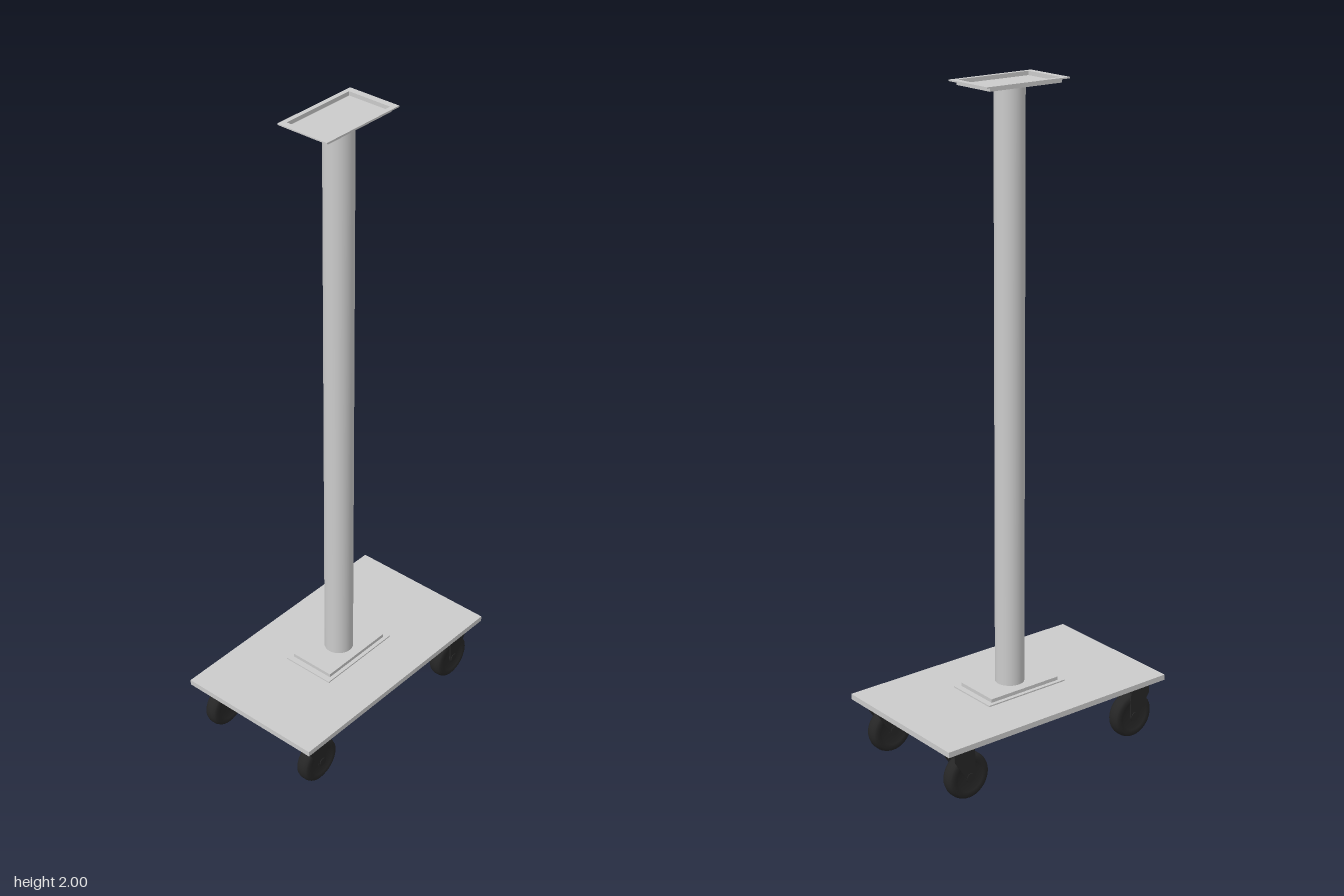
import * as THREE from 'three';

const grey = new THREE.MeshStandardMaterial({ color: 0xcccccc, side: THREE.DoubleSide });
const black = new THREE.MeshStandardMaterial({ color: 0x262626, side: THREE.DoubleSide });

function add(parent, name, geometry, material, x = 0, y = 0, z = 0) {
  const mesh = new THREE.Mesh(geometry, material);
  mesh.name = name;
  mesh.position.set(x, y, z);
  parent.add(mesh);
  return mesh;
}

function rectangle(path, w, d) {
  path.moveTo(-w / 2, -d / 2);
  path.lineTo(w / 2, -d / 2);
  path.lineTo(w / 2, d / 2);
  path.lineTo(-w / 2, d / 2);
  path.closePath();
  return path;
}

// Flat horizontal plate with a rectangular opening, its underside at y = 0
function frame(w, d, holeW, holeD, h) {
  const shape = rectangle(new THREE.Shape(), w, d);
  shape.holes.push(rectangle(new THREE.Path(), holeW, holeD));
  return new THREE.ExtrudeGeometry(shape, { depth: h, bevelEnabled: false }).rotateX(-Math.PI / 2);
}

// Pressed mounting plate: a flange around a shallow well, opening upwards
function mountingPlate(name) {
  const plate = new THREE.Group();
  plate.name = name;
  add(plate, 'flange', frame(0.17, 0.287, 0.142, 0.246, 0.004), grey, 0, -0.004, 0);
  add(plate, 'wellWall', frame(0.146, 0.25, 0.142, 0.246, 0.01), grey, 0, -0.013, 0);
  add(plate, 'wellFloor', new THREE.BoxGeometry(0.146, 0.003, 0.25), grey, 0, -0.0135, 0);
  return plate;
}

// Swivel caster; the origin is on the swivel axis at floor level, the wheel trails to -z
function caster() {
  const group = new THREE.Group();
  group.name = 'caster';
  const wheelZ = -0.022, wheelY = 0.071;

  // Tyre with rounded shoulders and a dished face
  const profile = [
    [0.012, -0.016], [0.042, -0.016], [0.046, -0.021], [0.06, -0.021], [0.067, -0.017],
    [0.0705, -0.008], [0.0705, 0.008], [0.067, 0.017], [0.06, 0.021], [0.046, 0.021],
    [0.042, 0.016], [0.012, 0.016],
  ].map(([r, y]) => new THREE.Vector2(r, y));
  add(group, 'wheel', new THREE.LatheGeometry(profile, 36).rotateZ(Math.PI / 2), black, 0, wheelY, wheelZ);
  add(group, 'axle', new THREE.CylinderGeometry(0.013, 0.013, 0.052, 20).rotateZ(Math.PI / 2),
    black, 0, wheelY, wheelZ);

  // Fork cheeks, tapering from the crown down to the axle
  const cheek = new THREE.Shape();
  cheek.moveTo(-0.036, 0.165);
  cheek.lineTo(0.034, 0.165);
  cheek.lineTo(0.034, 0.135);
  cheek.lineTo(wheelZ + 0.014, wheelY - 0.002);
  cheek.absarc(wheelZ, wheelY, 0.016, 0, -Math.PI, true);
  cheek.lineTo(-0.04, 0.125);
  cheek.closePath();
  const cheekGeometry = new THREE.ExtrudeGeometry(cheek, { depth: 0.003, bevelEnabled: false })
    .rotateY(-Math.PI / 2);
  for (const x of [-0.021, 0.024]) add(group, 'forkCheek', cheekGeometry, black, x, 0, 0);

  // Crown and swivel bearing
  add(group, 'forkCrown', new THREE.BoxGeometry(0.048, 0.018, 0.07), black, 0, 0.156, -0.001);
  add(group, 'swivel', new THREE.CylinderGeometry(0.024, 0.024, 0.013, 24), black, 0, 0.17, 0);
  return group;
}

export function createModel() {
  const model = new THREE.Group();
  model.name = 'rollingStand';

  // Base with an opening beneath the lower mounting plate
  add(model, 'base', frame(0.48, 0.816, 0.164, 0.281, 0.017), grey, 0, 0.175, 0);

  // Matching plates at both ends of the column, the lower one turned over
  const lower = mountingPlate('lowerPlate');
  lower.rotation.z = Math.PI;
  lower.position.y = 0.192;
  const upper = mountingPlate('upperPlate');
  upper.position.y = 2;
  model.add(lower, upper);

  add(model, 'column', new THREE.CylinderGeometry(0.044, 0.044, 1.78, 40), grey, 0, 1.096, 0);

  // Casters at the corners, trailing inwards
  for (const x of [-0.187, 0.187]) {
    for (const side of [1, -1]) {
      const unit = caster();
      unit.position.set(x, 0, side > 0 ? 0.338 : -0.331);
      if (side < 0) unit.rotation.y = Math.PI;
      model.add(unit);
    }
  }
  return model;
}
